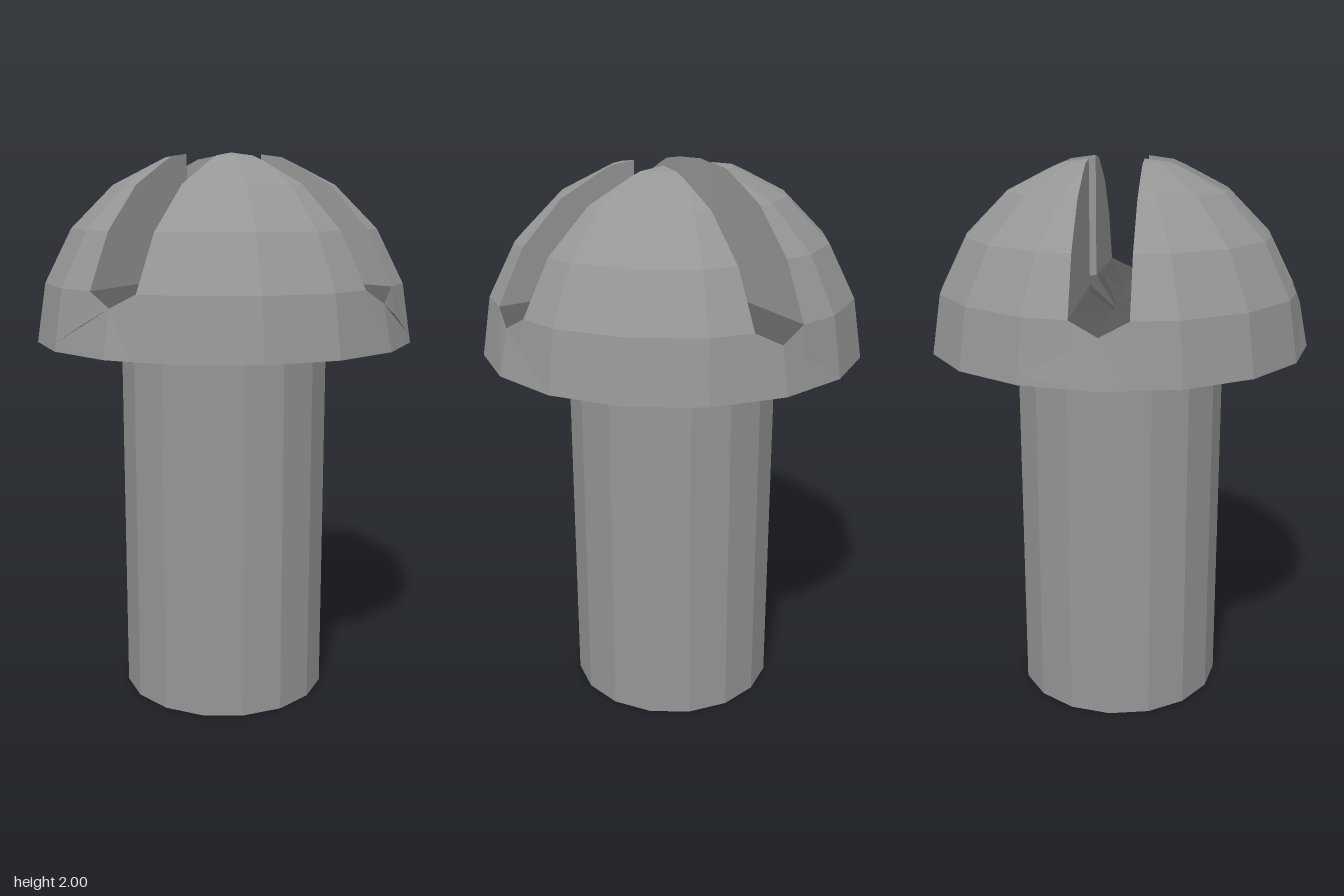
import * as THREE from 'three';

const SIDES = 16, R = 0.683, BASE = 1.338;   // dome facets, radius and underside height
const W = 0.096, FLOOR = 1.5, CORNER = 1.565; // slot half width, floor height at middle and inner corner
const V = (x, y, z) => new THREE.Vector3(x, y, z);
const UP = V(0, 1, 0);

// Point of the dome grid
const point = (ring, side) => {
  const lat = ring * Math.PI / 10, a = side * 2 * Math.PI / SIDES;
  return V(R * Math.sin(lat) * Math.cos(a), BASE + R * Math.cos(lat), R * Math.sin(lat) * Math.sin(a));
};

// Outer end of a slot: middle point and side point on the lowest ring edge
const TIP = point(4, 0).setY(FLOOR);
const RIM = point(4, 0).lerp(point(4, 1), W / point(4, 1).z);

// Cuts a convex polygon, keeping the side behind the plane
function clip(poly, plane) {
  const out = [];
  poly.forEach((a, i) => {
    const b = poly[(i + 1) % poly.length];
    const da = plane.distanceToPoint(a), db = plane.distanceToPoint(b);
    if (da <= 1e-7) out.push(a);
    if ((da < -1e-7 && db > 1e-7) || (da > 1e-7 && db < -1e-7)) out.push(a.clone().lerp(b, da / (da - db)));
  });
  return out.length > 2 ? out : [];
}

// Removes a convex cutter from a polygon, returning the remaining pieces
function subtract(poly, cutter) {
  const pieces = [];
  let rest = poly;
  for (const plane of cutter) {
    const outside = clip(rest, plane.clone().negate());
    if (outside.length) pieces.push(outside);
    rest = clip(rest, plane);
    if (!rest.length) break;
  }
  return pieces;
}

// Adds a convex polygon as a fan, turned to face the given direction
function add(positions, poly, facing) {
  for (let i = 1; i < poly.length - 1; i++) {
    const t = [poly[0], poly[i], poly[i + 1]];
    const n = new THREE.Triangle(...t).getNormal(V(0, 0, 0));
    if (n.lengthSq() < 0.5) continue;
    if (n.dot(facing) < 0) t.reverse();
    t.forEach(p => positions.push(p.x, p.y, p.z));
  }
}

// Calls back for the eight half arms of the cross with a placing function
function eachHalfArm(build) {
  for (let arm = 0; arm < 4; arm++) {
    for (const s of [1, -1]) build(p => V(p.x, p.y, p.z * s).applyAxisAngle(UP, arm * Math.PI / 2));
  }
}

// Dome with slot walls and underside
function domePositions() {
  const positions = [], facets = [], domePlanes = [];
  for (let ring = 0; ring < 5; ring++) {
    for (let s = 0; s < SIDES; s++) {
      const f = [point(ring + 1, s), point(ring + 1, s + 1), point(ring, s + 1)];
      if (ring) f.push(point(ring, s));
      facets.push(f);
      const plane = new THREE.Plane().setFromCoplanarPoints(f[0], f[1], f[2]);
      if (plane.distanceToPoint(V(0, BASE, 0)) > 0) plane.negate();
      domePlanes.push(plane);
    }
  }

  // Two crossed slot cutters with V-shaped floors
  const slope = (RIM.y - FLOOR) / W;
  const cutters = [V(1, 0, 0), V(0, 0, 1)].map(dir => [1, -1].flatMap(s => {
    const side = dir.clone().multiplyScalar(s);
    const bed = side.clone().multiplyScalar(slope).sub(UP).normalize();
    return [new THREE.Plane(side, -W),
      new THREE.Plane().setFromNormalAndCoplanarPoint(bed, V(0, FLOOR, 0))];
  }));
  for (const f of facets) {
    const facing = f.reduce((sum, p) => sum.add(p), V(0, 0, 0)).divideScalar(f.length).sub(V(0, BASE, 0));
    for (const piece of subtract(f, cutters[0]).flatMap(p => subtract(p, cutters[1]))) {
      // Slight dent at the slot tips
      for (const p of piece) {
        const onAxis = Math.min(Math.abs(p.x), Math.abs(p.z)) < 1e-5;
        if (onAxis && Math.abs(p.y - FLOOR) < 1e-4) p.set(p.x, 0, p.z).setLength(TIP.x).setY(FLOOR);
      }
      add(positions, piece, facing);
    }
  }

  // Slot walls
  const wall = [V(W, CORNER, W), RIM, V(1, RIM.y, W), V(1, 2.2, W), V(W, 2.2, W)];
  eachHalfArm(place => add(positions, domePlanes.reduce(clip, wall.map(place)), place(V(0, 0, -1))));

  // Flat underside
  add(positions, Array.from({ length: SIDES }, (_, s) => point(5, s)), V(0, -1, 0));
  return positions;
}

// V-shaped slot floors with a shallow dimple in the middle
function floorPositions() {
  const positions = [];
  const centre = V(0, FLOOR - 0.05, 0), axis = V(0.21, FLOOR, 0);
  const side = V(0.195, 1.554, 0.081), corner = V(W, CORNER, W);
  const pieces = [[centre, axis, side], [centre, side, corner], [axis, TIP, RIM, side], [side, RIM, corner]];
  eachHalfArm(place => pieces.forEach(p => add(positions, p.map(place), UP)));
  return positions;
}

export function createModel() {
  const group = new THREE.Group();
  group.name = 'screw';
  const metal = new THREE.MeshStandardMaterial({ color: 0x969696, flatShading: true });
  const darkMetal = new THREE.MeshStandardMaterial({ color: 0x5a5a5a, flatShading: true });

  const addPart = (name, geometry, material) => {
    const mesh = new THREE.Mesh(geometry, material);
    mesh.name = name;
    group.add(mesh);
    return mesh;
  };
  const toGeometry = positions => {
    const geometry = new THREE.BufferGeometry();
    geometry.setAttribute('position', new THREE.Float32BufferAttribute(positions, 3));
    geometry.computeVertexNormals();
    return geometry;
  };

  addPart('head', toGeometry(domePositions()), metal);
  addPart('slotFloor', toGeometry(floorPositions()), darkMetal);
  addPart('shaft', new THREE.CylinderGeometry(0.38, 0.38, BASE, SIDES), metal).position.y = BASE / 2;
  return group;
}
